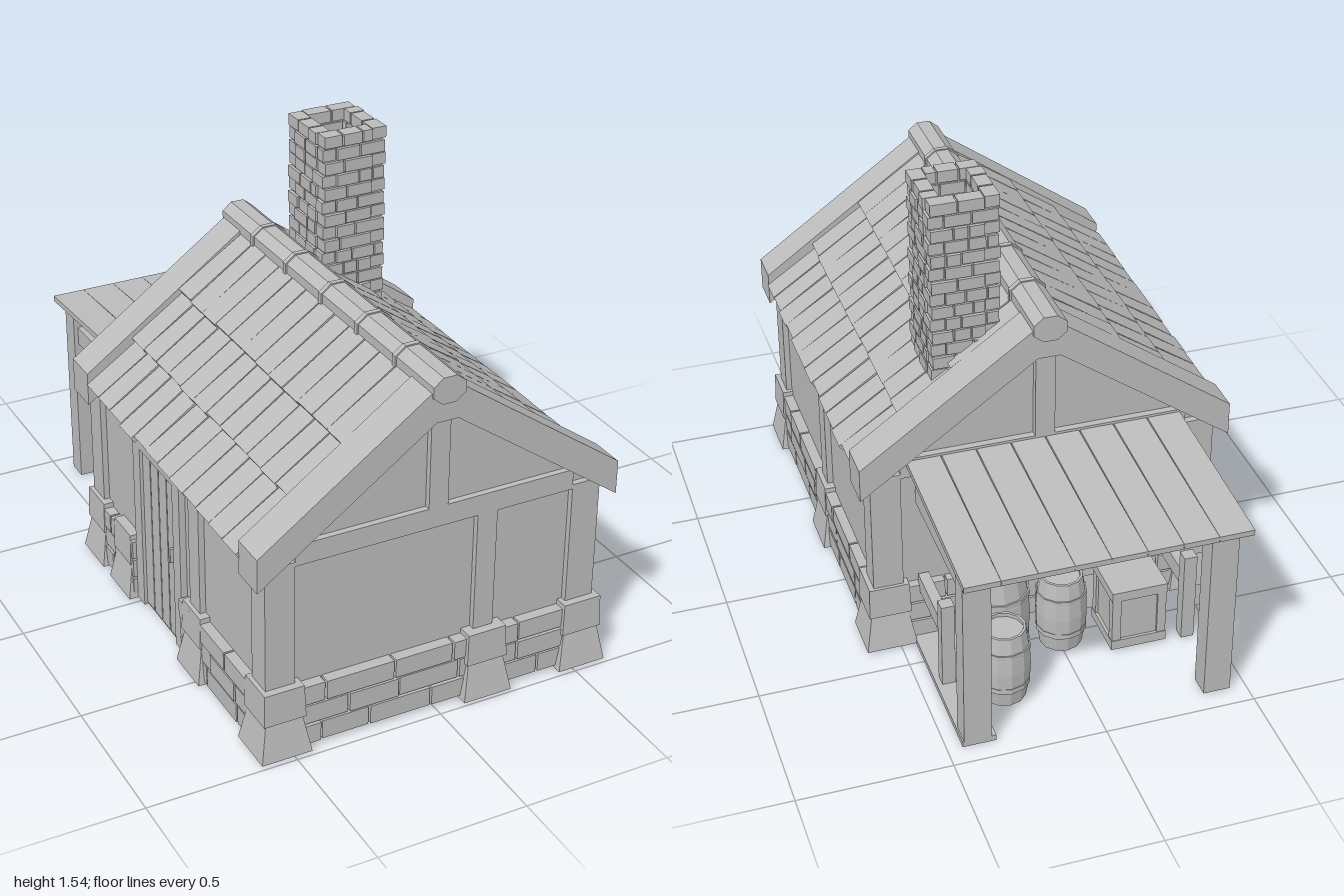
import * as THREE from 'three';

const stoneGrey = new THREE.MeshStandardMaterial({ color: 0xbcbcbc, flatShading: true });
stoneGrey.name = 'plain grey';

let seed = 7;
const rand = () => (seed = (seed * 16807) % 2147483647) / 2147483647;

function add(parent, name, geo, x = 0, y = 0, z = 0) {
  const m = new THREE.Mesh(geo, stoneGrey);
  m.name = name;
  m.position.set(x, y, z);
  parent.add(m);
  return m;
}

// Box given by its limits on each axis
function span(parent, name, x0, x1, y0, y1, z0, z1) {
  return add(parent, name, new THREE.BoxGeometry(x1 - x0, y1 - y0, z1 - z0),
    (x0 + x1) / 2, (y0 + y1) / 2, (z0 + z1) / 2);
}

function group(parent, name) {
  const g = new THREE.Group();
  g.name = name;
  parent.add(g);
  return g;
}

function warp(geo, rule) {
  const p = geo.attributes.position, v = new THREE.Vector3();
  for (let i = 0; i < p.count; i++) {
    v.fromBufferAttribute(p, i);
    rule(v);
    p.setXYZ(i, v.x, v.y, v.z);
  }
  geo.computeVertexNormals();
  return geo;
}

function prism(points, depth) {
  const s = new THREE.Shape(points.map(([x, y]) => new THREE.Vector2(x, y)));
  return new THREE.ExtrudeGeometry(s, { depth, bevelEnabled: false });
}

// Row of blocks of uneven length along local x, outer face at z = 0
function blockRow(parent, name, x0, x1, y0, y1, depth, size, gap) {
  let x = x0;
  while (x < x1 - 0.001) {
    let end = x + size * (0.7 + 0.6 * rand());
    if (x1 - end < size * 0.5) end = x1;
    const out = rand() * 0.006;
    span(parent, name, x + gap / 2, end - gap / 2, y0 + gap / 2, y1 - gap / 2, -depth, out);
    x = end;
  }
}

// Tapered stone foot with a cap block
function pier(parent, x, z) {
  const g = group(parent, 'stonePier');
  g.position.set(x, 0, z);
  add(g, 'pierFoot', warp(new THREE.BoxGeometry(0.17, 0.122, 0.168), v => {
    if (v.y > 0) { v.x *= 0.74; v.z *= 0.74; }
  }), 0, 0.067, 0);
  add(g, 'pierCap', warp(new THREE.BoxGeometry(0.142, 0.11, 0.14), v => {
    if (v.y > 0) { v.x *= 0.94; v.z *= 0.94; }
  }), 0, 0.187, 0);
}

function stoneWall(parent, x, z, turn, half) {
  const g = group(parent, 'stoneWall');
  g.position.set(x, 0, z);
  g.rotation.y = turn;
  for (let r = 0; r < 3; r++) {
    blockRow(g, 'wallStone', -half, half, 0.012 + r * 0.072, 0.084 + r * 0.072, 0.05, 0.19, 0.007);
  }
}

function barrel(parent, x, z, r, h) {
  const g = group(parent, 'barrel');
  g.position.set(x, 0.018, z);
  const profile = [[0, 0], [0.82, 0], [0.97, 0.3], [1, 0.5], [0.97, 0.7], [0.82, 1], [0.72, 1], [0.72, 0.95], [0, 0.95]];
  add(g, 'barrelBody', new THREE.LatheGeometry(profile.map(([a, b]) => new THREE.Vector2(a * r, b * h)), 12));
  for (const t of [0.25, 0.75]) {
    add(g, 'barrelHoop', new THREE.CylinderGeometry(r * 0.98, r * 0.98, 0.018, 12, 1), 0, t * h, 0);
  }
}

export function createModel() {
  const model = new THREE.Group();
  model.name = 'cottage';
  const SLOPE = 0.713, ANGLE = Math.atan(SLOPE), COS = Math.cos(ANGLE);

  // Foundation: solid core, stone courses and piers
  const base = group(model, 'foundation');
  span(base, 'foundationCore', -0.57, 0.57, 0.014, 0.215, -0.36, 0.94);
  stoneWall(base, 0, 0.958, 0, 0.53);
  stoneWall(base, 0, -0.385, Math.PI, 0.53);
  stoneWall(base, 0.59, 0.29, Math.PI / 2, 0.63);
  stoneWall(base, -0.59, 0.63, -Math.PI / 2, 0.28);
  stoneWall(base, -0.59, -0.18, -Math.PI / 2, 0.165);
  for (const x of [-0.528, 0.53]) for (const z of [0.905, -0.325]) pier(base, x, z);
  pier(base, 0.175, 0.91);
  pier(base, -0.175, -0.325);
  pier(base, 0.53, 0.27);
  pier(base, -0.528, 0.45);
  pier(base, -0.528, -0.1);

  // Plaster walls with gables
  const walls = group(model, 'walls');
  add(walls, 'wallBody', prism([[-0.56, 0.2], [0.56, 0.2], [0.56, 0.675], [0, 1.075], [-0.56, 0.675]], 1.28), 0, 0, -0.356);

  // Timber frame
  const frame = group(model, 'timberFrame');
  for (const s of [-1, 1]) {
    for (const [z0, z1] of [[0.855, 0.945], [-0.38, -0.29]]) {
      add(frame, 'cornerPost', new THREE.BoxGeometry(0.1, 0.47, z1 - z0), s * 0.53, 0.435, (z0 + z1) / 2);
    }
  }
  span(frame, 'sidePost', 0.5, 0.58, 0.2, 0.67, 0.235, 0.31);
  span(frame, 'sidePost', -0.58, -0.5, 0.2, 0.67, 0.41, 0.485);
  for (const [z0, z1, px] of [[0.86, 0.945, 0.175], [-0.38, -0.3, -0.175]]) {
    span(frame, 'tieBeam', -0.48, 0.48, 0.655, 0.725, z0, z1);
    span(frame, 'gablePost', -0.033, 0.033, 0.725, 1.04, z0, z1);
    span(frame, 'wallPost', px - 0.035, px + 0.035, 0.2, 0.655, z0, z1);
  }

  // Plank door with frame and handle on the side wall
  const door = group(model, 'door');
  for (let i = 0; i < 4; i++) {
    span(door, 'doorPlank', -0.572, -0.54, 0.02, 0.62, 0.042 + i * 0.063, 0.1 + i * 0.063);
  }
  span(door, 'doorJamb', -0.582, -0.53, 0.01, 0.66, -0.015, 0.04);
  span(door, 'doorJamb', -0.582, -0.53, 0.01, 0.66, 0.292, 0.345);
  span(door, 'doorLintel', -0.582, -0.53, 0.61, 0.66, 0.04, 0.292);
  span(door, 'doorHandle', -0.585, -0.572, 0.31, 0.36, 0.262, 0.274);

  // Barge boards at both gables
  const roof = group(model, 'roof');
  const barge = [[-0.62, 0.62], [-0.037, 1.036], [0.037, 1.036], [0.62, 0.62], [0.62, 0.735], [0, 1.177], [-0.62, 0.735]];
  add(roof, 'bargeBoard', prism(barge, 0.122), 0, 0, 0.856);
  add(roof, 'bargeBoard', prism(barge, 0.125), 0, 0, -0.415);

  // Roof deck and three overlapping rows of uneven planks per slope, set between the barge boards
  const rows = [0.03, 0.285, 0.465, 0.645].map(x => x / COS);
  const rowLevel = [-0.017, -0.03, -0.045];
  for (const s of [-1, 1]) {
    const slope = group(roof, 'roofSlope');
    slope.position.y = 1.177;
    slope.rotation.z = -s * ANGLE;
    add(slope, 'roofDeck', new THREE.BoxGeometry(0.75, 0.02, 1.16), s * 0.365, -0.07, 0.285);
    for (let r = 0; r < 3; r++) {
      const len = rows[r + 1] - rows[r] + 0.03;
      for (let i = 0; i < 12; i++) {
        const low = 0.94 + 0.06 * rand(), high = 0.87 + 0.12 * rand();
        const geo = warp(new THREE.BoxGeometry(len, 0.024, 0.096), v => { v.z *= v.x * s > 0 ? low : high; });
        const shift = r < 2 ? (rand() - 0.5) * 0.006 : (rand() - 0.6) * 0.012;
        const m = add(slope, 'roofPlank', geo, s * (rows[r + 1] - len / 2 + shift), rowLevel[r], -0.242 + i * 0.0958);
        m.rotation.z = s * (0.01 + 0.02 * rand());
      }
    }
  }

  // Ridge log with collars
  const ridgeBar = (name, r, len, z) => {
    const geo = new THREE.CylinderGeometry(r, r, len, 8);
    geo.rotateY(Math.PI / 8).rotateX(Math.PI / 2).scale(1.16, 0.92, 1);
    add(roof, name, geo, 0, 1.142, z);
  };
  ridgeBar('ridgeLog', 0.051, 1.41, 0.282);
  for (const z of [0.76, 0.525, 0.29, 0.045, -0.19]) ridgeBar('ridgeCollar', 0.056, 0.018, z);

  // Hollow brick chimney laid in a pinwheel bond
  const chimney = group(model, 'chimney');
  chimney.position.set(0.222, 0, -0.132);
  const W = 0.224, D = 0.246, T = 0.046, COURSE = 0.0452;
  for (let k = 0; k < 4; k++) {
    const side = group(chimney, 'chimneySide');
    const along = k % 2 ? D : W, out = k % 2 ? W : D;
    side.rotation.y = k * Math.PI / 2;
    span(side, 'chimneyMortar', -along / 2 + 0.007, along / 2 - 0.007, 0.91, 1.535, out / 2 - T + 0.007, out / 2 - 0.007);
    const bricks = group(side, 'bricks');
    bricks.position.z = out / 2;
    for (let c = 0; c < 14; c++) {
      const y = 0.91 + c * COURSE, flip = c % 2 === 1;
      const a = flip ? -along / 2 : -along / 2 + T, b = flip ? along / 2 - T : along / 2;
      blockRow(bricks, 'brick', a, b, y, y + COURSE, T, 0.07, 0.006);
    }
  }

  // Lean-to shelter at the back
  const shelter = group(model, 'leanTo');
  const boards = group(shelter, 'leanToRoof');
  boards.position.set(0, 0.688, -0.69);
  boards.rotation.x = -Math.atan(0.036 / 0.58);
  for (let i = 0; i < 8; i++) {
    add(boards, 'leanToBoard', warp(new THREE.BoxGeometry(0.1145, 0.02, 0.62), v => {
      if (v.z > 0) v.x *= 0.97;
    }), -0.4035 + i * 0.1153, 0, 0);
  }
  span(shelter, 'wallLedger', -0.42, 0.42, 0.63, 0.69, -0.42, -0.37);
  for (const s of [-1, 1]) {
    const x = s * 0.4;
    span(shelter, 'shelterPost', x - 0.045, x + 0.045, 0.003, 0.672, -0.93, -0.855);
    span(shelter, 'shelterBeam', x - 0.03, x + 0.03, 0.545, 0.61, -0.86, -0.37);
    span(shelter, 'railPost', s * 0.41 - 0.022, s * 0.41 + 0.022, 0.005, 0.33, -0.65, -0.607);
    span(shelter, 'handRail', s * 0.41 - 0.018, s * 0.41 + 0.018, 0.2, 0.26, -0.61, -0.37);
  }
  span(shelter, 'groundPlank', 0.34, 0.45, 0, 0.02, -0.93, -0.34);

  // Stored goods: barrels and a crate
  const goods = group(model, 'storedGoods');
  barrel(goods, 0.255, -0.738, 0.088, 0.267);
  barrel(goods, 0.215, -0.515, 0.118, 0.322);
  barrel(goods, -0.005, -0.54, 0.086, 0.267);
  const crate = group(goods, 'crate');
  crate.position.set(-0.24, 0, -0.55);
  span(crate, 'crateBody', -0.085, 0.085, 0.015, 0.225, -0.085, 0.085);
  for (const y of [0.01, 0.205]) span(crate, 'crateBand', -0.095, 0.095, y, y + 0.035, -0.095, 0.095);
  for (const a of [-1, 1]) for (const b of [-1, 1]) {
    add(crate, 'crateCorner', new THREE.BoxGeometry(0.03, 0.2, 0.03), a * 0.078, 0.12, b * 0.078);
  }

  return model;
}
